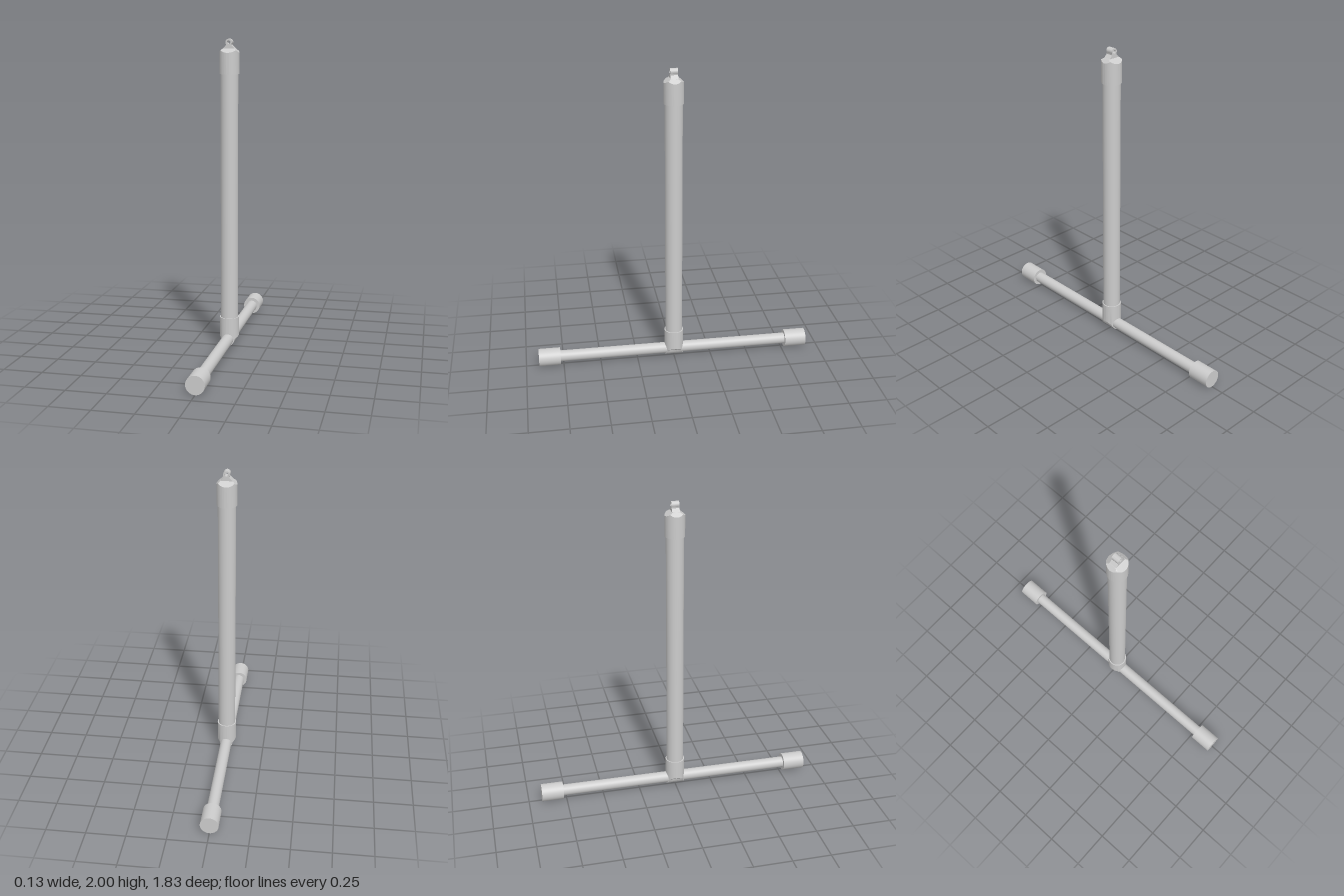
import * as THREE from 'three';
import { toCreasedNormals } from 'three/addons/utils/BufferGeometryUtils.js';

const R = 0.063;      // collar radius
const AXIS_Y = 0.058; // height of the foot bar
const HUB_R = 0.043;  // rounded underside of the lower collar

export function createModel() {
  const group = new THREE.Group();
  const material = new THREE.MeshStandardMaterial({ color: 0xcccccc });

  const add = (name, geometry, y = 0, z = 0) => {
    const mesh = new THREE.Mesh(geometry, material);
    mesh.name = name;
    mesh.position.set(0, y, z);
    group.add(mesh);
    return mesh;
  };

  // Round collar with one flat end; the other end follows height(x, z)
  const collar = (name, flatY, shapedOnTop, height) => {
    const rings = 28;
    const shaped = [];
    for (let i = 0; i <= rings; i++) shaped.push(new THREE.Vector2((R * i) / rings, NaN));
    const flat = [new THREE.Vector2(R, flatY), new THREE.Vector2(0, flatY)];
    const points = shapedOnTop ? [...flat.reverse(), ...shaped.reverse()] : [...shaped, ...flat];
    // Placeholder height marks the shaped points
    const marked = points.map(p => new THREE.Vector2(p.x, Number.isNaN(p.y) ? 9 : p.y));
    const geometry = new THREE.LatheGeometry(marked, 64);
    const pos = geometry.attributes.position;
    for (let i = 0; i < pos.count; i++) {
      if (pos.getY(i) > 5) pos.setY(i, height(pos.getX(i), pos.getZ(i)));
    }
    return add(name, toCreasedNormals(geometry, 0.5));
  };

  // Upright column
  add('column', new THREE.CylinderGeometry(0.056, 0.056, 1.78, 48), 0.99);

  // Top collar with sloping shoulders on all four sides
  collar('topCollar', 1.78, true, (x, z) =>
    Math.min(1.913 + (R - Math.abs(z)) * 0.68, 1.915 + (R - Math.abs(x)), 1.94));

  // Hanging eye: tapered neck and ring, pierced front to back
  const eyeY = 1.979, eyeR = 0.021;
  const eye = new THREE.Shape();
  eye.moveTo(-0.056, 1.91);
  eye.lineTo(0.056, 1.91);
  eye.lineTo(0.056, 1.92);
  eye.lineTo(0.018, 1.96);
  eye.absarc(0, eyeY, eyeR, -0.55, Math.PI + 0.55, false);
  eye.lineTo(-0.018, 1.96);
  eye.lineTo(-0.056, 1.92);
  eye.closePath();
  const hole = new THREE.Path();
  hole.absarc(0, eyeY, 0.011, 0, Math.PI * 2, true);
  eye.holes.push(hole);
  const eyeGeometry = new THREE.ExtrudeGeometry(eye, { depth: 0.048, bevelEnabled: false, curveSegments: 24 });
  eyeGeometry.translate(0, 0, -0.024);
  add('hangingEye', toCreasedNormals(eyeGeometry, 0.5));

  // Lower collar: rounded along the bar, undercut on both sides
  collar('lowerCollar', 0.2, false, x => {
    const a = Math.abs(x);
    return a < HUB_R ? AXIS_Y - Math.sqrt(HUB_R * HUB_R - a * a) : AXIS_Y + (a - HUB_R) * 0.85;
  });

  // Foot bar running front to back
  const bar = new THREE.CylinderGeometry(0.037, 0.037, 1.7, 40);
  bar.rotateX(Math.PI / 2);
  add('footBar', bar, AXIS_Y);

  // End caps of the bar
  for (const side of [1, -1]) {
    const cap = new THREE.CylinderGeometry(0.058, 0.058, 0.144, 48);
    cap.rotateX(Math.PI / 2);
    add(side > 0 ? 'frontEndCap' : 'backEndCap', cap, AXIS_Y, side * 0.842);
  }

  return group;
}
